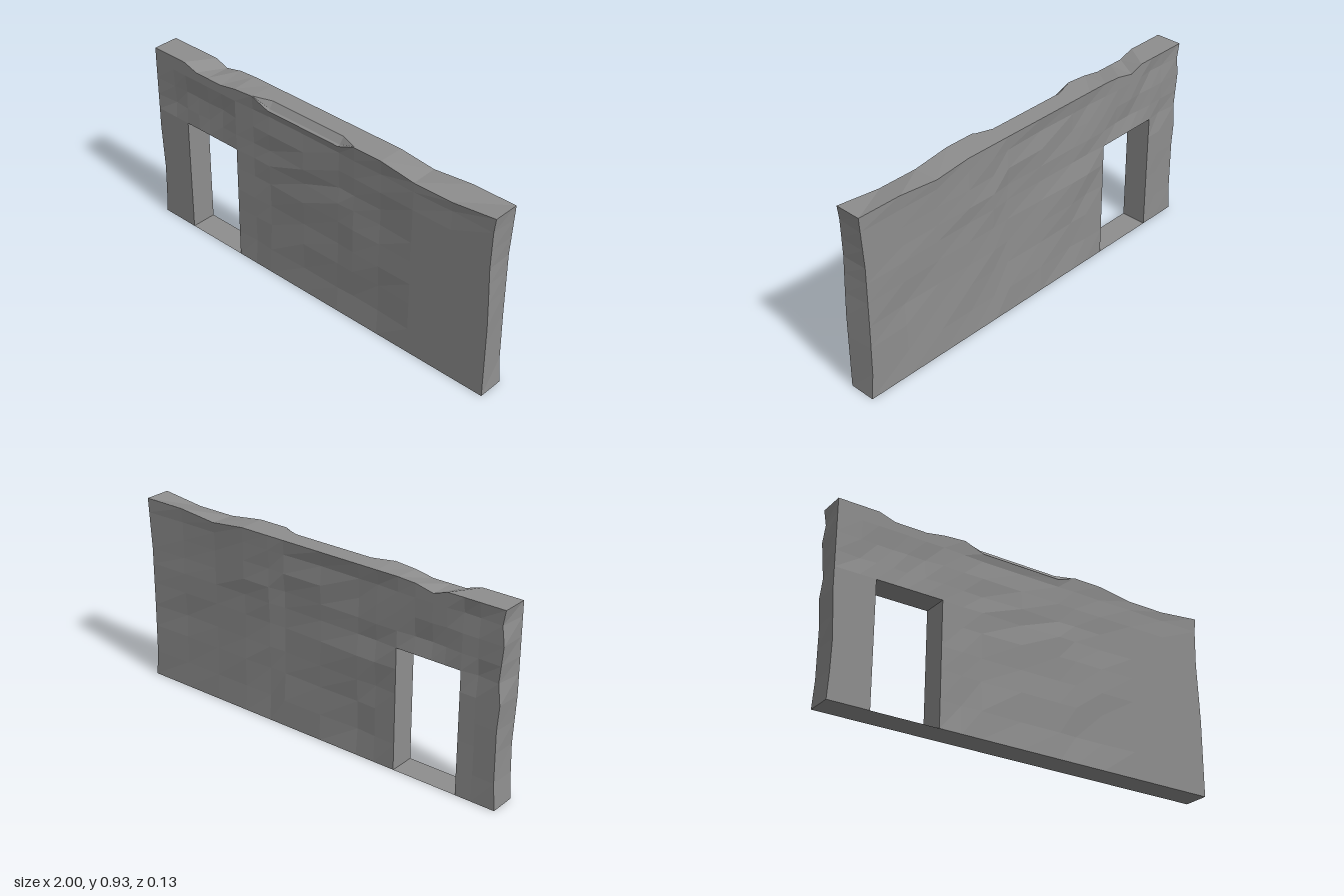
import * as THREE from 'three';

const FRONT = 0.066, BACK = -0.063;
const xs = [-1, -0.88, -0.8, -0.72, -0.65, -0.56, -0.47, -0.36, -0.26, -0.05, 0.16, 0.25, 0.4, 0.58, 0.78, 1];
const ys = [0, 0.13, 0.27, 0.38, 0.5, 0.6, 0.68, 0.77, 0.86, 0.93];
const TOP = ys.length - 1, LAST = xs.length - 1;
const DOOR_L = 2, DOOR_R = 6, DOOR_TOP = 5;

// Worn upper edges and ends, as [position, value] pairs
const frontEdge = [[-1, 0.93], [-0.8, 0.93], [-0.72, 0.905], [-0.56, 0.905], [-0.42, 0.93], [-0.36, 0.93],
  [-0.26, 0.895], [0.16, 0.895], [0.25, 0.93], [0.4, 0.93], [0.58, 0.905], [0.78, 0.905], [1, 0.93]];
const backEdge = [[-1, 0.93], [-0.72, 0.93], [-0.65, 0.905], [-0.56, 0.925], [-0.47, 0.93], [0.4, 0.93], [0.58, 0.91], [0.78, 0.93], [1, 0.93]];
const rightFront = [[0, 0], [0.4, 0], [0.68, 0.012], [0.86, 0.008], [0.93, 0]];
const rightBack = [[0, 0], [0.13, 0.012], [0.38, 0.015], [0.68, 0.015], [0.93, 0]];
const leftFront = [[0, 0], [0.13, 0.008], [0.27, 0.012], [0.5, 0], [0.93, 0]];
const leftBack = [[0, 0], [0.13, 0.01], [0.38, 0.012], [0.5, 0.003], [0.6, 0.015], [0.77, 0], [0.86, 0.012], [0.93, 0]];

function sample(table, t) {
  for (let k = 1; k < table.length; k++) {
    const [a, va] = table[k - 1], [b, vb] = table[k];
    if (t <= b) return va + (vb - va) * (t - a) / (b - a);
  }
  return table[table.length - 1][1];
}

function hash(i, j, seed) {
  const s = Math.sin(i * 12.99 + j * 78.23 + seed * 37.7) * 43758.55;
  return s - Math.floor(s);
}

// Shallow dents in the two big faces
function dent(i, j, front) {
  const x = xs[i], y = ys[j];
  if (i === 0 || i === LAST || j === 0 || j === TOP) return 0;
  if (i >= DOOR_L && i <= DOOR_R && j <= DOOR_TOP) return 0;
  if (front) {
    const worn = (x > -0.4 && x < 0.5) || (y > 0.6 && y < 0.8 && x < -0.5) || y > 0.8 && x > 0;
    return worn ? 0.01 * hash(i, j, 1) : 0;
  }
  // slight swelling beside the doorway
  if (j === 4 && x > -0.4 && x < -0.1) return -0.005;
  return 0.012 * hash(i, j, 2);
}

function point(i, j, front) {
  const left = front ? leftFront : leftBack, right = front ? rightFront : rightBack;
  let x = xs[i];
  if (i === 0) x += sample(left, ys[j]);
  if (i === LAST) x -= sample(right, ys[j]);
  const y = j === TOP ? sample(front ? frontEdge : backEdge, xs[i]) : ys[j];
  const d = dent(i, j, front);
  return [x, y, front ? FRONT - d : BACK + d];
}

// Cross-section of the top, front to back, with a chipped ledge in the middle
function topSection(i) {
  const f = point(i, TOP, true), b = point(i, TOP, false);
  const chipped = xs[i] > -0.3 && xs[i] < 0.2;
  const mix = t => f.map((v, k) => v + (b[k] - v) * t);
  return chipped
    ? [f, [xs[i], 0.9, 0.055], [xs[i], 0.93, 0.03], b]
    : [f, mix(0.02), mix(0.04), b];
}

function meshFrom(name, material, fill) {
  const p = [];
  // corners anticlockwise as seen from outside
  fill((a, b, c, d) => p.push(...a, ...b, ...c, ...a, ...c, ...d));
  const g = new THREE.BufferGeometry();
  g.setAttribute('position', new THREE.Float32BufferAttribute(p, 3));
  g.computeVertexNormals();
  const m = new THREE.Mesh(g, material);
  m.name = name;
  return m;
}

export function createModel() {
  const group = new THREE.Group();
  group.name = 'wallWithDoorway';
  const stone = new THREE.MeshStandardMaterial({ color: 0x8e8e8e, flatShading: true });
  stone.name = 'grey stone';

  // Front and back faces, leaving the doorway open
  for (const front of [true, false]) {
    group.add(meshFrom(front ? 'frontFace' : 'backFace', stone, quad => {
      for (let i = 0; i < LAST; i++) for (let j = 0; j < TOP; j++) {
        if (i >= DOOR_L && i < DOOR_R && j < DOOR_TOP) continue;
        const a = point(i, j, front), b = point(i + 1, j, front);
        const c = point(i + 1, j + 1, front), d = point(i, j + 1, front);
        front ? quad(a, b, c, d) : quad(b, a, d, c);
      }
    }));
  }

  // Worn top
  group.add(meshFrom('wornTop', stone, quad => {
    for (let i = 0; i < LAST; i++) {
      const s = topSection(i), t = topSection(i + 1);
      for (let k = 0; k < 3; k++) quad(s[k], t[k], t[k + 1], s[k + 1]);
    }
  }));

  // Ends of the wall
  group.add(meshFrom('wallEnds', stone, quad => {
    for (let j = 0; j < TOP; j++) {
      quad(point(LAST, j, true), point(LAST, j, false), point(LAST, j + 1, false), point(LAST, j + 1, true));
      quad(point(0, j, false), point(0, j, true), point(0, j + 1, true), point(0, j + 1, false));
    }
  }));

  // Jambs and lintel
  group.add(meshFrom('doorReveal', stone, quad => {
    for (let j = 0; j < DOOR_TOP; j++) {
      quad(point(DOOR_L, j, true), point(DOOR_L, j, false), point(DOOR_L, j + 1, false), point(DOOR_L, j + 1, true));
      quad(point(DOOR_R, j, false), point(DOOR_R, j, true), point(DOOR_R, j + 1, true), point(DOOR_R, j + 1, false));
    }
    for (let i = DOOR_L; i < DOOR_R; i++)
      quad(point(i, DOOR_TOP, false), point(i + 1, DOOR_TOP, false), point(i + 1, DOOR_TOP, true), point(i, DOOR_TOP, true));
  }));

  // Underside, with a flat threshold on top of it in the doorway
  group.add(meshFrom('underside', stone, quad => {
    for (let i = 0; i < LAST; i++)
      quad(point(i, 0, false), point(i + 1, 0, false), point(i + 1, 0, true), point(i, 0, true));
  }));
  group.add(meshFrom('threshold', stone, quad => {
    quad(point(DOOR_L, 0, true), point(DOOR_R, 0, true), point(DOOR_R, 0, false), point(DOOR_L, 0, false));
  }));

  return group;
}
